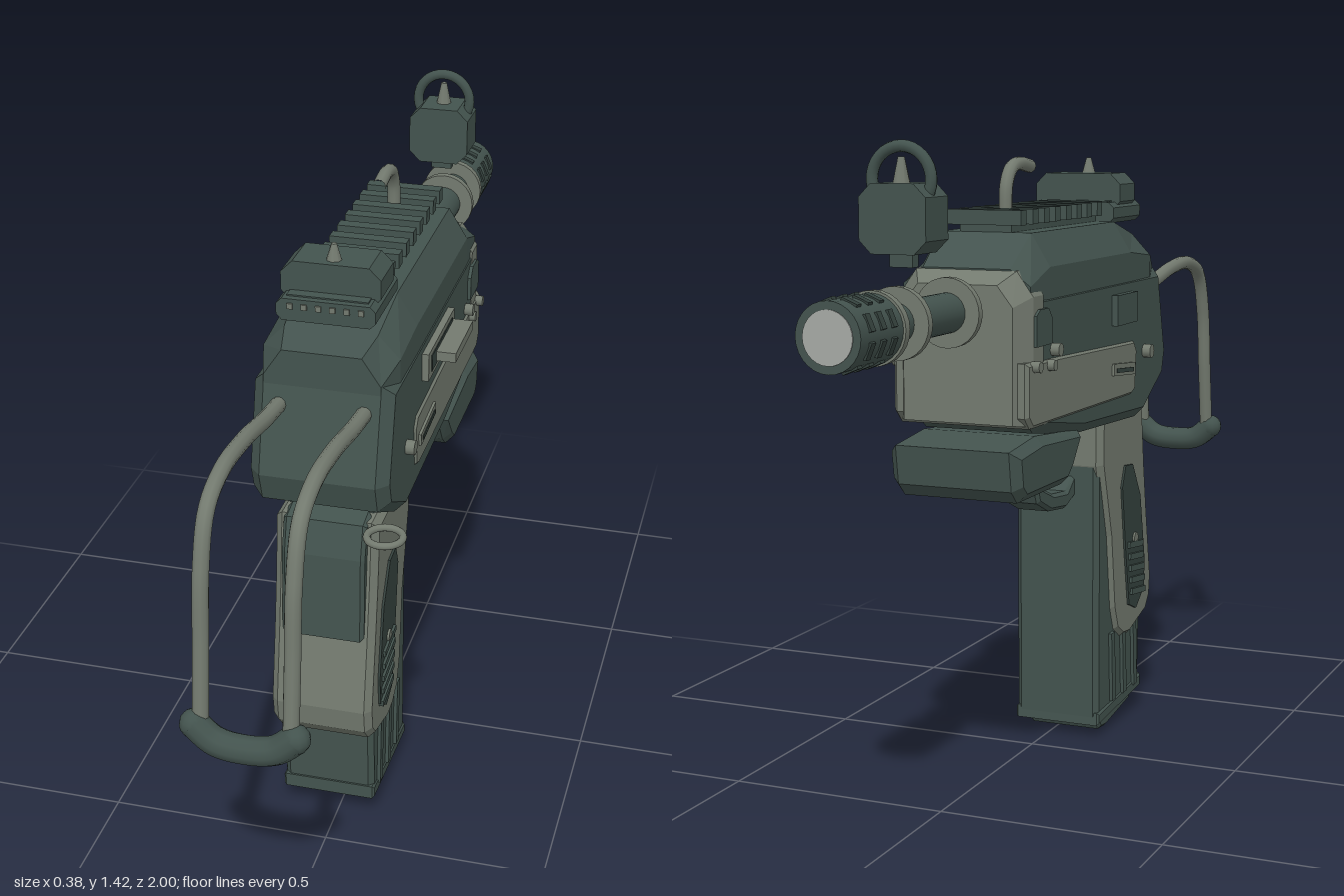
import * as THREE from 'three';
import { toCreasedNormals } from 'three/addons/utils/BufferGeometryUtils.js';

const mat = (name, color, side = THREE.FrontSide) => {
  const m = new THREE.MeshStandardMaterial({ color, side });
  m.name = name;
  return m;
};

export function createModel() {
  const dark = mat('dark green metal', 0x43534e);
  const light = mat('light grey green', 0x737a6f);
  const shade = mat('deep green', 0x35423e);
  const pale = mat('pale muzzle face', 0xa6a9a5);
  const root = new THREE.Group();
  root.name = 'blaster';
  const gun = new THREE.Group();
  gun.name = 'body centred on barrel axis';
  gun.position.x = -0.02;
  root.add(gun);

  const add = (name, geo, m, x = 0, y = 0, z = 0) => {
    const mesh = new THREE.Mesh(geo, m);
    mesh.name = name;
    mesh.position.set(x, y, z);
    gun.add(mesh);
    return mesh;
  };
  const box = (name, m, w, h, d, x, y, z) => add(name, new THREE.BoxGeometry(w, h, d), m, x, y, z);

  // Side profile given as [z, y] points, extruded across x with chamfered edges
  const profile = (name, m, pts, half, bevel = 0.02, x = 0, smooth = false) => {
    let shape = new THREE.Shape(pts.map(p => new THREE.Vector2(p[0], p[1])));
    if (smooth) {
      const curve = new THREE.SplineCurve([...pts, pts[0]].map(p => new THREE.Vector2(p[0], p[1])));
      shape = new THREE.Shape(curve.getPoints(40).slice(0, -1));
    }
    const depth = 2 * (half - bevel);
    let geo = new THREE.ExtrudeGeometry(shape, {
      depth, bevelEnabled: bevel > 0, bevelThickness: bevel, bevelSize: bevel,
      bevelOffset: -bevel, bevelSegments: 1
    });
    geo.translate(0, 0, -depth / 2);
    geo.rotateY(-Math.PI / 2);
    if (smooth) geo = toCreasedNormals(geo, 0.5);
    return add(name, geo, m, x);
  };

  // Loft of shouldered sections [z, bottom, shoulder, top, half width, top half width], rear to muzzle
  const loft = (name, m, sections) => {
    const rings = sections.map(([z, b, s, t, w, tw]) =>
      [[w, b, z], [w, s, z], [tw, t, z], [-tw, t, z], [-w, s, z], [-w, b, z]]);
    const pos = [];
    const tri = (...v) => v.forEach(p => pos.push(...p));
    const n = 6, last = rings[rings.length - 1];
    for (let i = 0; i < rings.length - 1; i++) for (let j = 0; j < n; j++) {
      const a = rings[i], c = rings[i + 1], k = (j + 1) % n;
      tri(a[j], c[j], c[k]);
      tri(a[j], c[k], a[k]);
    }
    for (let j = 1; j < n - 1; j++) {
      tri(rings[0][0], rings[0][j], rings[0][j + 1]);
      tri(last[0], last[j + 1], last[j]);
    }
    const geo = new THREE.BufferGeometry();
    geo.setAttribute('position', new THREE.Float32BufferAttribute(pos, 3));
    geo.computeVertexNormals();
    return add(name, geo, m);
  };

  const tube = (name, m, pts, r, seg = 32) => add(name, new THREE.TubeGeometry(
    new THREE.CatmullRomCurve3(pts.map(p => new THREE.Vector3(...p))), seg, r, 10), m);
  // Cylinder lying along z between two depths
  const rod = (name, m, r, z0, z1, y = 1.07, sides = 28) => {
    const geo = new THREE.CylinderGeometry(r, r, Math.abs(z1 - z0), sides);
    geo.rotateX(Math.PI / 2);
    return add(name, geo, m, 0, y, (z0 + z1) / 2);
  };

  // Receiver
  profile('lowerReceiver', dark, [[0.40, 1.11], [0.455, 0.90], [0.435, 0.835], [0.29, 0.755],
    [-0.10, 0.77], [-0.34, 0.805], [-0.40, 0.85], [-0.39, 1.11]], 0.15, 0.025);
  loft('upperReceiver', dark, [[0.405, 1.0, 1.11, 1.17, 0.125, 0.085], [0.33, 1.0, 1.14, 1.19, 0.147, 0.1],
    [0.19, 1.0, 1.155, 1.225, 0.148, 0.105], [-0.30, 1.0, 1.155, 1.225, 0.148, 0.105],
    [-0.40, 1.0, 1.12, 1.155, 0.146, 0.1]]);
  loft('muzzleBlock', light, [[-0.345, 0.83, 1.10, 1.155, 0.152, 0.115], [-0.40, 0.83, 1.10, 1.152, 0.152, 0.115],
    [-0.445, 0.835, 1.08, 1.125, 0.125, 0.09]]);
  profile('sidePanels', light, [[0.205, 0.95], [0.225, 0.925], [0.215, 0.83], [0.19, 0.82],
    [-0.41, 0.825], [-0.435, 0.85], [-0.435, 0.965], [-0.30, 0.965]], 0.155, 0.008);
  profile('foreGrip', dark, [[-0.10, 0.78], [-0.155, 0.70], [-0.19, 0.672], [-0.435, 0.672],
    [-0.465, 0.70], [-0.478, 0.785], [-0.34, 0.80]], 0.15, 0.02);

  // Details mirrored on both sides
  for (const s of [-1, 1]) {
    profile('muzzleNotch', dark, [[-0.31, 0.995], [-0.395, 0.995], [-0.395, 1.06], [-0.375, 1.072],
      [-0.33, 1.072], [-0.31, 1.05]], 0.006, 0, s * 0.152);
    const bar = box('panelPlate', light, 0.008, 0.028, 0.14, s * 0.157, 0.89, 0.125);
    bar.rotation.x = 0.08;
    box('panelGroove', shade, 0.006, 0.01, 0.11, s * 0.16, 0.888, 0.125).rotation.x = 0.08;
    for (const [z, y, r] of [[0.285, 0.915, 0.016], [-0.29, 0.98, 0.014], [-0.32, 0.95, 0.012], [-0.40, 0.955, 0.012]]) {
      const geo = new THREE.CylinderGeometry(r, r, 0.03, 12);
      geo.rotateZ(Math.PI / 2);
      add('screw', geo, light, s * 0.155, y, z);
    }
    // Grip inset with ridges
    profile('gripInset', shade, [[0.30, 0.635], [0.25, 0.64], [0.228, 0.59], [0.255, 0.42], [0.28, 0.29],
      [0.33, 0.27], [0.385, 0.31], [0.39, 0.38], [0.355, 0.55]], 0.006, 0, s * 0.113);
    for (let i = 0; i < 5; i++)
      box('gripRidge', dark, 0.022, 0.015, 0.095, s * 0.114, 0.315 + i * 0.03, 0.335 - i * 0.005).rotation.x = 0.12;
    const screw = new THREE.CylinderGeometry(0.014, 0.014, 0.02, 12);
    screw.rotateZ(Math.PI / 2);
    add('gripScrew', screw, light, s * 0.114, 0.45, 0.315);
    for (let i = 0; i < 3; i++)
      box('magazineRib', dark, 0.014, 0.17, 0.022, s * 0.105, 0.155, 0.345 - i * 0.075).rotation.x = -0.06;
    // Folding stock wires
    const x = s * 0.091;
    tube('stockWire', light, [[x, 1.045, 0.38], [x, 1.06, 0.5], [x, 1.085, 0.64], [x, 1.09, 0.78], [x, 1.055, 0.87],
      [x, 0.95, 0.915], [x, 0.8, 0.935], [x, 0.62, 0.96]], 0.017, 48);
  }
  tube('stockButt', dark, [[-0.105, 0.635, 0.963], [-0.06, 0.6, 0.966], [0, 0.592, 0.968],
    [0.06, 0.6, 0.966], [0.105, 0.635, 0.963]], 0.03);
  for (const s of [-1, 1])
    add('stockButtEnd', new THREE.SphereGeometry(0.03, 12, 8), dark, s * 0.102, 0.632, 0.963);

  // Grip, magazine and trigger
  profile('magazine', dark, [[0.10, 0.78], [0.105, 0.05], [0.395, 0.065], [0.40, 0.3], [0.34, 0.78]], 0.104, 0.012);
  profile('magazineBase', dark, [[0.105, 0.03], [0.107, 0.06], [0.40, 0.085], [0.40, 0.052]], 0.107, 0.005);
  profile('magazineFoot', dark, [[0.14, 0.04], [0.16, 0.005], [0.20, 0.002], [0.36, 0.025], [0.385, 0.07]], 0.092, 0.008);
  profile('grip', light, [[0.10, 0.775], [0.10, 0.66], [0.155, 0.48], [0.18, 0.3], [0.205, 0.24], [0.25, 0.212],
    [0.30, 0.207], [0.42, 0.24], [0.45, 0.275], [0.457, 0.33], [0.425, 0.5], [0.405, 0.62], [0.385, 0.775]], 0.114, 0.015);
  profile('gripBackstrap', dark, [[0.35, 0.785], [0.40, 0.775], [0.422, 0.70], [0.432, 0.50], [0.36, 0.50]], 0.092, 0.008);
  profile('triggerGuard', dark, [[0.11, 0.64], [0.11, 0.585], [0.055, 0.565], [-0.04, 0.575], [-0.11, 0.605],
    [-0.13, 0.65], [-0.155, 0.78], [-0.11, 0.78], [-0.10, 0.67], [-0.08, 0.635], [-0.02, 0.612], [0.06, 0.605]], 0.045, 0.008);
  profile('trigger', light, [[0.025, 0.78], [0.012, 0.71], [0.02, 0.665], [0.0, 0.655], [-0.022, 0.70], [-0.02, 0.78]], 0.022, 0.005);

  // Barrel
  rod('barrel', dark, 0.042, -0.42, -0.84);
  rod('muzzle', dark, 0.068, -0.82, -0.998);
  rod('muzzleFace', pale, 0.052, -0.992, -1.0);
  for (const z of [-0.487, -0.72, -0.818]) rod('barrelRing', light, 0.073, z - 0.009, z + 0.009);
  for (let i = 0; i < 8; i++) for (const z of [-0.865, -0.91, -0.955]) {
    const a = (i + 0.5) * Math.PI / 4;
    box('muzzleSlot', shade, 0.008, 0.035, 0.018, Math.cos(a) * 0.067, 1.07 + Math.sin(a) * 0.067, z).rotation.z = a;
  }

  // Top rail with teeth
  box('railBase', dark, 0.12, 0.035, 0.65, 0, 1.238, 0.025);
  for (let i = 0; i < 11; i++)
    box('railTooth', dark, 0.172, 0.032, 0.03, 0, 1.256, -0.295 + i * 0.0635);
  tube('railHook', light, [[0, 1.25, -0.195], [0, 1.32, -0.19], [0, 1.355, -0.165], [0, 1.365, -0.125], [0, 1.358, -0.06]], 0.015);

  // Rear sight, chamfered block seen from behind
  const chamfered = (w, h, c, d) => {
    const p = [[w - c, -h], [w, c - h], [w, h - c], [w - c, h], [c - w, h], [-w, h - c], [-w, c - h], [c - w, -h]];
    const geo = new THREE.ExtrudeGeometry(new THREE.Shape(p.map(q => new THREE.Vector2(...q))), { depth: d, bevelEnabled: false });
    return geo.translate(0, 0, -d / 2);
  };
  add('rearSightBase', chamfered(0.105, 0.024, 0.012, 0.18), dark, 0, 1.245, 0.28);
  add('rearSight', chamfered(0.106, 0.045, 0.025, 0.1), dark, 0, 1.29, 0.28);
  for (let i = 0; i < 6; i++) box('rearSightStud', light, 0.012, 0.012, 0.012, -0.075 + i * 0.03, 1.254, 0.368);
  add('rearSightPost', new THREE.CylinderGeometry(0.006, 0.018, 0.04, 8), light, 0, 1.35, 0.3);

  // Front sight block with hoop
  add('frontSight', chamfered(0.072, 0.068, 0.026, 0.1), dark, 0, 1.272, -0.687);
  box('frontSightFoot', dark, 0.05, 0.04, 0.025, 0, 1.197, -0.687);
  add('frontSightHoop', new THREE.TorusGeometry(0.064, 0.012, 10, 32), dark, 0, 1.347, -0.694);
  add('frontSightPost', new THREE.CylinderGeometry(0.007, 0.02, 0.06, 8), light, 0, 1.36, -0.694);

  // Charging handle on the left side
  box('handleFrame', light, 0.03, 0.064, 0.25, 0.15, 1.037, 0.025);
  box('handleSlot', shade, 0.006, 0.038, 0.2, 0.164, 1.037, 0.025);
  box('chargingHandle', light, 0.055, 0.022, 0.175, 0.183, 1.037, 0.0);
  box('selectorPlate', dark, 0.02, 0.07, 0.13, -0.155, 1.03, 0.13);

  // Lanyard ring
  const ring = add('lanyardRing', new THREE.TorusGeometry(0.038, 0.008, 10, 28), light, 0.15, 0.8, 0.47);
  ring.rotation.x = Math.PI / 2;
  return root;
}
